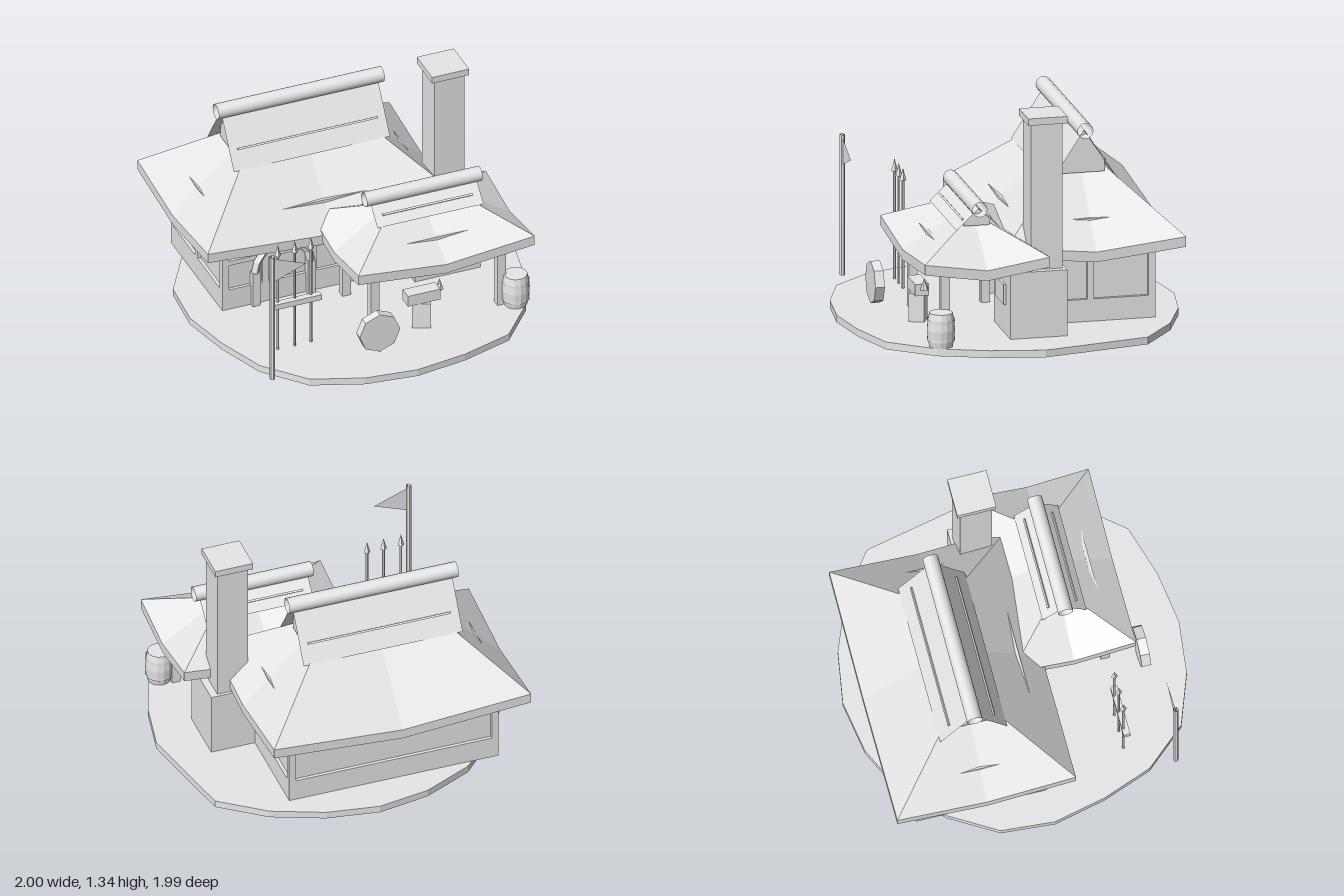
import * as THREE from 'three';

export function createModel() {
  const root = new THREE.Group();
  const grey = new THREE.MeshStandardMaterial({ color: 0xe7e7e7, side: THREE.DoubleSide });
  grey.name = 'plain grey';

  function add(name, geo, x = 0, y = 0, z = 0, parent = root, smooth = false) {
    let g = geo;
    if (!smooth) {
      if (g.index) g = g.toNonIndexed();
      g.computeVertexNormals();
    }
    const m = new THREE.Mesh(g, grey);
    m.name = name;
    m.position.set(x, y, z);
    parent.add(m);
    return m;
  }
  // Box given by its minimum and maximum corners
  const box = (name, x0, x1, y0, y1, z0, z1, parent) =>
    add(name, new THREE.BoxGeometry(x1 - x0, y1 - y0, z1 - z0),
      (x0 + x1) / 2, (y0 + y1) / 2, (z0 + z1) / 2, parent);

  // Uneven round ground slab
  const rim = [[0, 0.995], [0.31, 0.945], [0.61, 0.825], [0.87, 0.63], [0.935, 0.315], [1, 0], [0.94, -0.31],
    [0.83, -0.6], [0.62, -0.85], [0.31, -0.945], [0, -0.99], [-0.31, -0.955], [-0.61, -0.845],
    [-0.82, -0.605], [-0.93, -0.31], [-1, 0], [-0.975, 0.315], [-0.81, 0.59], [-0.6, 0.81], [-0.31, 0.945]];
  const slab = new THREE.ExtrudeGeometry(
    new THREE.Shape(rim.map(p => new THREE.Vector2(...p))), { depth: 0.043, bevelEnabled: false });
  slab.rotateX(-Math.PI / 2);
  add('ground', slab);

  // Hipped skirt whose edges sag in the middle, less so towards the top; levels are [halfX, halfZ, cornerY]
  function skirt(levels, A, B, sag) {
    const dirs = [[1, 0], [1, -1], [0, -1], [-1, -1], [-1, 0], [-1, 1], [0, 1], [1, 1]];
    const rings = levels.map(([a, b, y]) => dirs.map(([u, v]) =>
      [u * a, y - (u ? 0 : sag * a / A) - (v ? 0 : sag * b / B), v * b]));
    const pos = [];
    for (let k = 0; k + 1 < rings.length; k++) {
      for (let i = 0; i < 8; i++) {
        const j = (i + 1) % 8, [lo, hi] = [rings[k], rings[k + 1]];
        [lo[i], lo[j], hi[j], lo[i], hi[j], hi[i]].forEach(p => pos.push(...p));
      }
    }
    const g = new THREE.BufferGeometry();
    g.setAttribute('position', new THREE.Float32BufferAttribute(pos, 3));
    return g;
  }

  // Roof: sagging skirt with closed soffit, steep upper panels, recessed gable ends, hollow ridge roll
  function roof(name, r) {
    const g = new THREE.Group();
    g.name = name;
    g.position.set(r.x, 0, r.z);
    root.add(g);
    add('eaves', skirt([
      [0.005, 0.005, r.soffitY],
      [r.halfX, r.halfZ, 0.49],
      [r.halfX, r.halfZ, 0.55],
      [r.topX, r.topZ, r.topY]], r.halfX, r.halfZ, 0.057), 0, 0, 0, g);
    const drop = r.ridgeY - r.panelY, len = Math.hypot(drop, r.panelZ), tilt = Math.atan2(r.panelZ, drop);
    for (const s of [-1, 1]) {
      const panel = add('roofPanel', new THREE.PlaneGeometry(2 * r.panelX, len),
        0, (r.ridgeY + r.panelY) / 2, s * r.panelZ / 2, g);
      panel.rotation.x = -s * tilt;
      if (s < 0) panel.geometry.rotateY(Math.PI);
      const batten = add('batten', new THREE.BoxGeometry(2 * r.panelX - 0.1, 0.012, 0.018),
        0, r.ridgeY - drop * r.battenZ / r.panelZ, s * r.battenZ, g);
      batten.rotation.x = -s * tilt;
      // Gable end
      const w = r.topZ, sh = r.ridgeY - drop * w / r.panelZ;
      const shape = new THREE.Shape([[-w, r.gableY], [w, r.gableY], [w, sh], [0, r.ridgeY - 0.005], [-w, sh]]
        .map(p => new THREE.Vector2(...p)));
      const gable = new THREE.ExtrudeGeometry(shape, { depth: 0.02, bevelEnabled: false });
      gable.translate(0, 0, -0.02);
      add('gable', gable, s * r.gableX, 0, 0, g).rotation.y = s * Math.PI / 2;
      // Shingle courses that break the surface where it sags
      if (r.sideX) add('shingleCourse', new THREE.BoxGeometry(0.02, 0.02, r.halfZ), s * r.sideX, r.courseY + 0.01, 0, g);
    }
    add('shingleCourse', new THREE.BoxGeometry(r.halfX, 0.02, 0.02), 0, r.courseY, r.courseZ, g);
    const roll = new THREE.CylinderGeometry(r.roll, r.roll, 2 * r.panelX + 0.06, 16, 1, true);
    roll.rotateZ(Math.PI / 2);
    add('ridgeRoll', roll, 0, r.ridgeY, 0, g, true);
  }
  roof('mainRoof', { x: -0.166, z: -0.39, halfX: 0.78, halfZ: 0.527, soffitY: 0.437, topX: 0.38, topZ: 0.13,
    topY: 0.9, ridgeY: 1.138, panelX: 0.483, panelZ: 0.197, panelY: 0.838, battenZ: 0.13, gableX: 0.43,
    gableY: 0.87, roll: 0.046, courseY: 0.633, courseZ: 0.38, sideX: 0.62 });
  roof('porchRoof', { x: 0.307, z: 0.308, halfX: 0.545, halfZ: 0.367, soffitY: 0.417, topX: 0.255, topZ: 0.075,
    topY: 0.7, ridgeY: 0.803, panelX: 0.328, panelZ: 0.13, panelY: 0.68, battenZ: 0.08, gableX: 0.28,
    gableY: 0.69, roll: 0.044, courseY: 0.588, courseZ: 0.22 });

  // House walls with plinth, corner posts and rail
  box('walls', -0.78, 0.45, 0.04, 0.5, -0.75, -0.02);
  box('plinth', -0.8, 0.47, 0.04, 0.175, -0.77, 0);
  for (const z of [-0.75, -0.39, -0.02]) {
    for (const x of [-0.78, 0.45]) box('wallPost', x - 0.02, x + 0.02, 0.04, 0.5, z - 0.02, z + 0.02);
  }
  for (const x of [-0.53, -0.235, 0.04]) {
    box('wallPost', x - 0.02, x + 0.02, 0.04, 0.5, -0.04, 0);
  }
  box('rail', -0.8, 0.47, 0.34, 0.37, -0.04, 0);
  for (const [a, b] of [[-0.76, -0.56], [-0.5, -0.26], [-0.215, 0.02], [0.06, 0.3]]) {
    box('window', a, b, 0.18, 0.34, -0.02, -0.011);
  }

  // Arched doorway
  const arch = new THREE.Group();
  arch.name = 'doorArch';
  arch.position.set(-0.43, 0, 0.01);
  root.add(arch);
  add('archTop', new THREE.TorusGeometry(0.17, 0.025, 4, 8, Math.PI), 0, 0.265, 0, arch);
  for (const s of [-1, 1]) box('archLeg', s * 0.17 - 0.024, s * 0.17 + 0.024, 0.04, 0.265, -0.02, 0.02, arch);

  // Chimney with hearth
  box('hearth', 0.33, 0.735, 0.04, 0.435, -0.19, 0.145);
  box('hearthMouth', 0.43, 0.63, 0.22, 0.34, 0.14, 0.16);
  box('chimney', 0.505, 0.692, 0.43, 1.3, -0.172, 0.015);
  box('chimneyCap', 0.483, 0.712, 1.297, 1.338, -0.195, 0.035);

  // Porch posts
  for (const [x, z] of [[-0.083, 0.525], [0.7, 0.525], [-0.083, 0.1]]) {
    box('porchPost', x - 0.026, x + 0.026, 0.04, 0.48, z - 0.026, z + 0.026);
  }

  // Anvil on a turned stump
  add('stump', new THREE.BoxGeometry(0.11, 0.17, 0.09), 0.2, 0.125, 0.56).rotation.y = -0.4;
  box('anvil', 0.1, 0.3, 0.21, 0.28, 0.52, 0.6);
  add('anvilHorn', new THREE.ConeGeometry(0.024, 0.07, 6), 0.315, 0.285, 0.55);

  // Round stone standing in front
  const stone = new THREE.CylinderGeometry(0.125, 0.125, 0.055, 8);
  stone.rotateX(Math.PI / 2);
  add('grindstone', stone, -0.138, 0.185, 0.73);

  // Barrel with hoops
  const staves = [[0, 0], [0.068, 0], [0.078, 0.05], [0.082, 0.1], [0.078, 0.15], [0.068, 0.2], [0, 0.2]];
  add('barrel', new THREE.LatheGeometry(staves.map(p => new THREE.Vector2(...p)), 14), 0.78, 0.045, 0.565);
  for (const y of [0.045, 0.155]) {
    add('barrelHoop', new THREE.CylinderGeometry(0.081, 0.081, 0.016, 14, 1, true), 0.78, 0.045 + y, 0.565);
  }

  // Spear rack
  box('rackBar', -0.705, -0.4, 0.335, 0.37, 0.48, 0.52);
  for (const x of [-0.66, -0.555, -0.455]) {
    add('spearShaft', new THREE.CylinderGeometry(0.008, 0.008, 0.65, 6), x, 0.37, 0.49);
    add('spearHead', new THREE.ConeGeometry(0.02, 0.075, 4), x, 0.722, 0.49);
  }

  // Pole with a flat pennant
  add('flagPole', new THREE.CylinderGeometry(0.016, 0.016, 0.835, 6, 1, true), -0.805, 0.463, 0.762);
  const pennant = new THREE.Shape([[0, 0.865], [0, 0.7], [0.21, 0.783]].map(p => new THREE.Vector2(...p)));
  add('flag', new THREE.ShapeGeometry(pennant), -0.805, 0, 0.762);

  return root;
}
